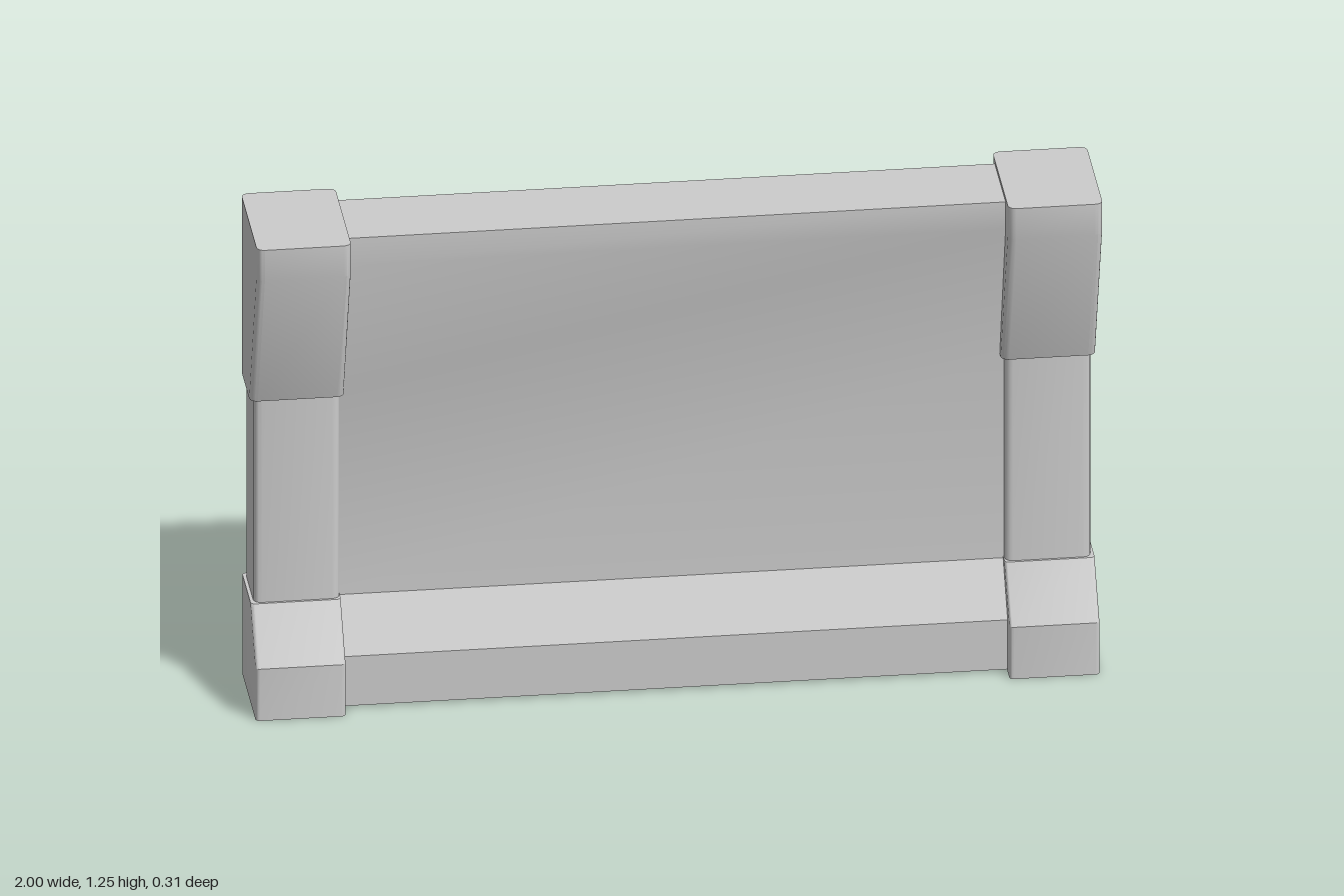
import * as THREE from 'three';
import { toCreasedNormals } from 'three/addons/utils/BufferGeometryUtils.js';

const material = new THREE.MeshStandardMaterial({ color: 0xcccccc });
const CREASE = 0.5;

// Counter-clockwise rounded rectangle in (x, z), seen with z up
function roundedRing(x0, x1, z0, z1, r, steps = 4) {
  const ring = [];
  const corners = [[x1 - r, z1 - r], [x0 + r, z1 - r], [x0 + r, z0 + r], [x1 - r, z0 + r]];
  corners.forEach(([cx, cz], q) => {
    for (let i = 0; i <= steps; i++) {
      const a = (q + i / steps) * Math.PI / 2;
      ring.push([cx + r * Math.cos(a), cz + r * Math.sin(a)]);
    }
  });
  return ring;
}

// Upright block with rounded vertical edges; levels are [y, front z]
function block(name, x0, x1, zBack, r, levels) {
  const pos = [], index = [];
  let n = 0;
  for (const [y, zFront] of levels) {
    const ring = roundedRing(x0, x1, zBack, zFront, r);
    n = ring.length;
    ring.forEach(([x, z]) => pos.push(x, y, z));
  }
  for (let k = 0; k < levels.length - 1; k++) {
    for (let i = 0; i < n; i++) {
      const a = k * n + i, b = k * n + (i + 1) % n;
      index.push(a, a + n, b, b, a + n, b + n);
    }
  }
  // flat caps
  const top = (levels.length - 1) * n;
  for (let i = 1; i < n - 1; i++) {
    index.push(0, i, i + 1);
    index.push(top, top + i + 1, top + i);
  }
  const geo = new THREE.BufferGeometry();
  geo.setAttribute('position', new THREE.Float32BufferAttribute(pos, 3));
  geo.setIndex(index);
  const mesh = new THREE.Mesh(toCreasedNormals(geo, CREASE), material);
  mesh.name = name;
  return mesh;
}

// End post: stepped foot, plain column and flared capital
function post(name, side) {
  const group = new THREE.Group();
  group.name = name;
  const span = (inner, outer) => (side > 0 ? [inner, outer] : [-outer, -inner]);
  group.add(
    block('foot', ...span(0.785, 0.998), -0.15, 0.01, [[0, 0.112], [0.135, 0.112], [0.26, 0.018]]),
    block('column', ...span(0.787, 0.99), -0.145, 0.018, [[0.25, 0.012], [0.8, 0.012]]),
    block('capital', ...span(0.777, 1), -0.153, 0.018, [[0.79, 0.02], [1.17, 0.154], [1.25, 0.154]]),
  );
  return group;
}

// Wall between the posts: sloped ledge below, front leaning out towards the top
function wall() {
  const profile = [
    [-0.11, 0.006], [0.07, 0.006], [0.07, 0.135], [-0.015, 0.256],
    [-0.015, 0.79], [0.095, 1.17], [0.095, 1.24], [-0.11, 1.24],
  ];
  // shape x becomes -z after the turn
  const shape = new THREE.Shape(profile.map(([z, y]) => new THREE.Vector2(-z, y)).reverse());
  const geo = new THREE.ExtrudeGeometry(shape, { depth: 1.62, bevelEnabled: false });
  geo.translate(0, 0, -0.81);
  geo.rotateY(Math.PI / 2);
  const mesh = new THREE.Mesh(toCreasedNormals(geo, CREASE), material);
  mesh.name = 'wallPanel';
  return mesh;
}

export function createModel() {
  const model = new THREE.Group();
  model.name = 'wallSection';
  model.add(wall(), post('leftPost', 1), post('rightPost', -1));
  return model;
}
